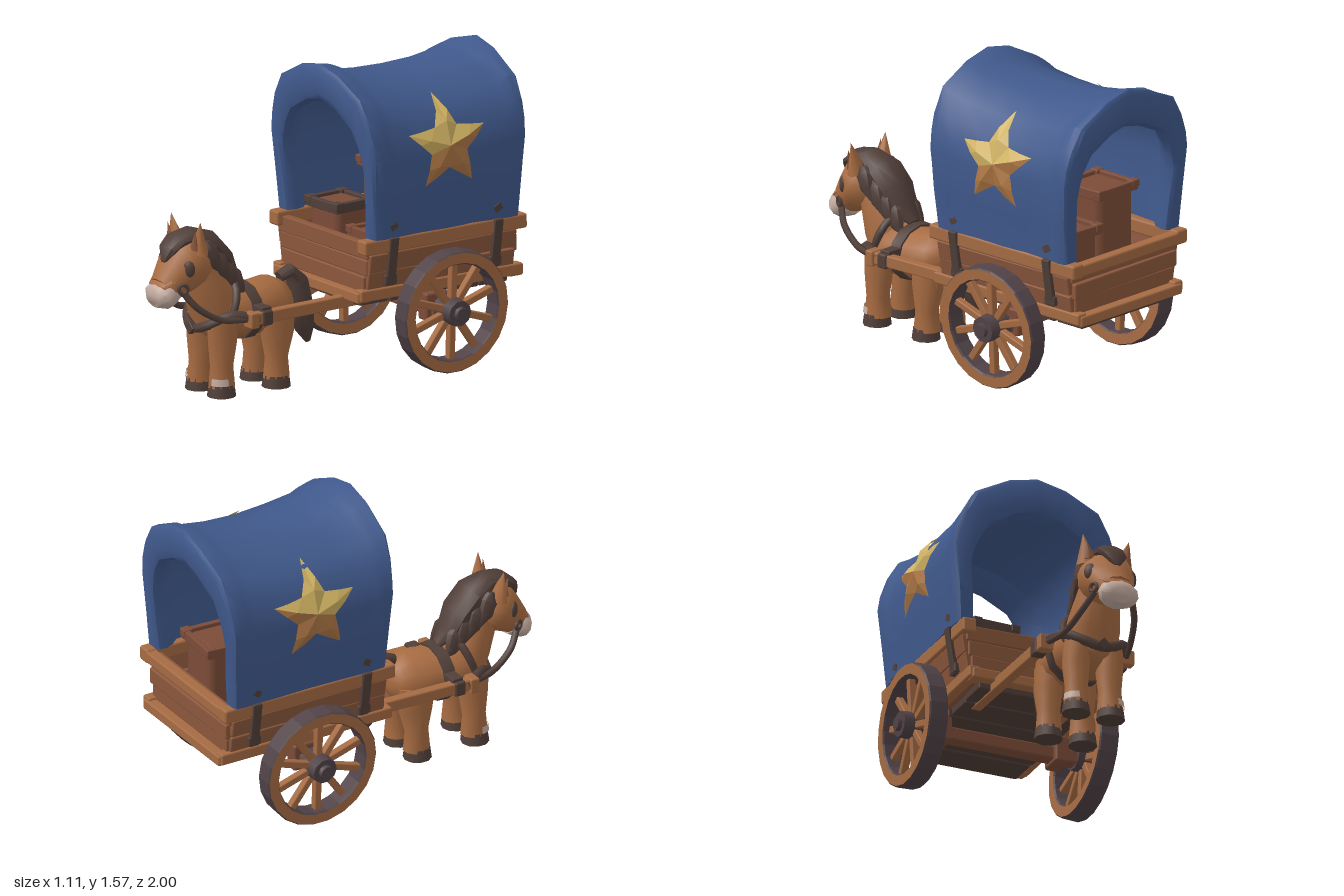
import * as THREE from 'three';
import { toCreasedNormals } from 'three/addons/utils/BufferGeometryUtils.js';
import { RoundedBoxGeometry } from 'three/addons/geometries/RoundedBoxGeometry.js';

const mat = (name, color, extra = {}) => Object.assign(new THREE.MeshStandardMaterial({ color, ...extra }), { name });
const M = {
  canvas: mat('blue canvas', 0x40598c, { side: THREE.DoubleSide }),
  wood: mat('tan wood', 0xa56b43),
  board: mat('wagon board', 0x8b573c),
  plank: mat('brown crate', 0x7c4c39),
  dark: mat('dark brown', 0x513f39),
  tread: mat('wheel tread', 0x514348),
  coat: mat('pony coat', 0xa86c42),
  pale: mat('pale muzzle', 0xc4aca0, { side: THREE.DoubleSide }),
  gold: mat('gold', 0xd0b262, { side: THREE.DoubleSide }),
  bronze: mat('bronze', 0xac7644, { side: THREE.DoubleSide }),
};
let seed = 7;
const jit = (a) => ((seed = (seed * 16807) % 2147483647) / 2147483647 - 0.5) * 2 * a;

function add(parent, name, geo, material, pos = [0, 0, 0], rot = [0, 0, 0]) {
  const m = new THREE.Mesh(geo, material);
  m.name = name;
  m.position.set(...pos);
  m.rotation.set(...rot);
  parent.add(m);
  return m;
}
// softly bevelled block
const box = (p, name, material, size, pos, rot) =>
  add(p, name, new RoundedBoxGeometry(...size, 1, Math.min(...size) * 0.16), material, pos, rot);

// skin through elliptical rings [y, z, halfWidth, halfHeight], turned to follow their path
function loft(rings, n = 12) {
  const v = [], idx = [];
  rings.forEach(([y, z, rx, rv], i) => {
    const a = rings[Math.max(i - 1, 0)], b = rings[Math.min(i + 1, rings.length - 1)];
    const t = Math.atan2(a[0] - b[0], b[1] - a[1]);
    for (let j = 0; j < n; j++) {
      const q = (j / n) * Math.PI * 2, s = rv * Math.sin(q);
      v.push(rx * Math.cos(q), y + s * Math.cos(t), z + s * Math.sin(t));
      const k = i * n + j, l = i * n + ((j + 1) % n);
      if (i < rings.length - 1) idx.push(k, l, k + n, l, l + n, k + n);
    }
  });
  const last = (rings.length - 1) * n;
  for (let j = 1; j < n - 1; j++) idx.push(0, j + 1, j, last, last + j, last + j + 1);
  const g = new THREE.BufferGeometry();
  g.setAttribute('position', new THREE.Float32BufferAttribute(v, 3));
  g.setIndex(idx);
  return toCreasedNormals(g, 0.9);
}
const tube = (pts, r, n = 24) =>
  new THREE.TubeGeometry(new THREE.CatmullRomCurve3(pts.map((p) => new THREE.Vector3(...p))), n, r, 6);

// canvas outline, right half from hem to ridge
const HALF = [[0.41, 0.745], [0.425, 0.95], [0.44, 1.16], [0.425, 1.25], [0.395, 1.34], [0.33, 1.45], [0.15, 1.54], [0, 1.575]];
const OUTLINE = [...HALF, ...HALF.slice(0, -1).reverse().map(([x, y]) => [-x, y])];
const sag = (t) => 1 - 0.085 * Math.pow(Math.max(Math.sin(Math.PI * t), 0), 0.7);

function canopyGeometry() {
  // [position along length, outer scale, inner scale]
  const st = [[0, 0.965, 0.82], [0.015, 1, 0.78], [0.06, 1.01, 0.77], [0.11, 1, 0.81], [0.16, 0.99, 0.9], [0.32, 0.985, 0.93], [0.5, 0.985, 0.93]];
  const all = [...st, ...st.slice(0, -1).reverse().map(([t, o, i]) => [1 - t, o, i])];
  const v = [], idx = [], P = OUTLINE.length, L = P * 2;
  all.forEach(([t, o, inn], i) => {
    const put = ([x, y], s) => {
      const h = (y - 0.75) / 0.82, z0 = -0.055 + 0.055 * h, z1 = -0.93 - 0.05 * h;
      v.push(x * s + jit(0.005), 0.75 + (y - 0.75) * s * sag(t) + (h > 0 ? jit(0.006) : 0), z0 + (z1 - z0) * t);
    };
    OUTLINE.forEach((p) => put(p, o));
    [...OUTLINE].reverse().forEach((p) => put(p, inn));
    if (i) for (let j = 0; j < L; j++) {
      const a = (i - 1) * L + j, b = (i - 1) * L + ((j + 1) % L);
      idx.push(a, a + L, b, b, a + L, b + L);
    }
  });
  const e = (all.length - 1) * L;
  for (let j = 0; j < P - 1; j++) {
    const a = j, b = j + 1, c = L - 1 - j, d = L - 2 - j;
    idx.push(a, b, c, b, d, c, e + a, e + c, e + b, e + b, e + c, e + d);
  }
  const g = new THREE.BufferGeometry();
  g.setAttribute('position', new THREE.Float32BufferAttribute(v, 3));
  g.setIndex(idx);
  return toCreasedNormals(g, 0.7);
}

// raised five-pointed star bent over the canvas side
function starGeometry() {
  const on = (y, z, lift) => {
    const yy = 0.75 + (y - 0.75) / sag(0.5);
    const i = HALF.findIndex((p) => p[1] >= yy), [x0, y0] = HALF[i - 1], [x1, y1] = HALF[i];
    return new THREE.Vector3(x0 + ((x1 - x0) * (yy - y0)) / (y1 - y0) + lift, y, z);
  };
  const mid = (a, b, lift) => on((a.y + b.y) / 2, (a.z + b.z) / 2, lift);
  const corner = (i) => {
    const a = (i / 10) * Math.PI * 2, r = i % 2 ? 0.112 : 0.238;
    return on(1.178 + r * Math.cos(a), -0.48 - r * Math.sin(a), 0.012);
  };
  const g = new THREE.BufferGeometry(), v = [], centre = on(1.178, -0.48, 0.032);
  for (let i = 0; i < 10; i++) {
    const tip = corner(i % 2 ? i + 1 : i), notch = corner(i % 2 ? i : i + 1);
    const ridge = mid(centre, tip, 0.034), edge = mid(tip, notch, 0.018);
    for (const [a, b, c] of [[centre, notch, ridge], [ridge, notch, edge], [ridge, edge, tip]]) {
      // face every facet outward
      const out = b.clone().sub(a).cross(c.clone().sub(a)).x > 0;
      for (const p of out ? [a, b, c] : [a, c, b]) v.push(p.x, p.y, p.z);
    }
    g.addGroup(i * 9, 9, [0, 1, 7, 8, 9].includes(i) ? 0 : 1);
  }
  g.setAttribute('position', new THREE.Float32BufferAttribute(v, 3));
  g.computeVertexNormals();
  return g;
}

function wheel() {
  const w = new THREE.Group();
  w.name = 'wheel';
  const s = new THREE.Shape().absarc(0, 0, 0.311, 0, Math.PI * 2);
  s.holes.push(new THREE.Path().absarc(0, 0, 0.247, 0, Math.PI * 2, true));
  const rim = new THREE.ExtrudeGeometry(s, { depth: 0.085, curveSegments: 11, bevelSize: 0.006, bevelThickness: 0.008, bevelOffset: -0.006, bevelSegments: 1 });
  add(w, 'wheelRim', rim.translate(0, 0, -0.042).rotateY(Math.PI / 2), [M.wood, M.tread]);
  for (let i = 0; i < 10; i++) {
    const a = (i / 10) * Math.PI * 2;
    box(w, 'spoke', M.wood, [0.038, 0.23, 0.036], [0, 0.15 * Math.cos(a), 0.15 * Math.sin(a)], [a, 0, 0]);
  }
  add(w, 'hub', new THREE.CylinderGeometry(0.066, 0.074, 0.13, 10), M.tread, [0.01, 0, 0], [0, 0, -Math.PI / 2]);
  add(w, 'hubCap', new THREE.CylinderGeometry(0.034, 0.042, 0.04, 8), M.tread, [0.075, 0, 0], [0, 0, -Math.PI / 2]);
  return w;
}

function crate(p, x, z, w, h, d, lidMaterial, turn = 0) {
  const c = new THREE.Group();
  c.name = 'crate';
  c.position.set(x, 0.47, z);
  c.rotation.y = turn;
  box(c, 'crateBody', M.plank, [w - 0.03, h - 0.02, d - 0.03], [0, h / 2, 0]);
  for (const [sy, m] of [[0.025, M.plank], [h - 0.025, lidMaterial]]) for (const s of [-1, 1]) {
    box(c, 'crateSlat', m, [w, 0.05, 0.03], [0, sy, s * (d / 2 - 0.015)]);
    box(c, 'crateSlat', m, [0.03, 0.05, d], [s * (w / 2 - 0.015), sy, 0]);
  }
  for (const s of [-1, 1]) for (const q of [-1, 1])
    box(c, 'crateCorner', lidMaterial, [0.05, 0.04, 0.05], [s * (w / 2 - 0.02), h - 0.015, q * (d / 2 - 0.02)]);
  p.add(c);
}

function wagon() {
  const g = new THREE.Group();
  g.name = 'wagon';
  add(g, 'canopy', canopyGeometry(), M.canvas);
  // floor and underside
  box(g, 'floor', M.board, [0.68, 0.04, 0.92], [0, 0.45, -0.49]);
  for (let i = 0; i < 5; i++) box(g, 'underPlank', M.dark, [0.6, 0.05, 0.17], [jit(0.01), 0.41 + jit(0.008), -0.13 - i * 0.18]);
  box(g, 'axle', M.plank, [0.84, 0.07, 0.08], [0, 0.325, -0.48]);
  // end walls, ledges and beams
  for (const [z, e] of [[-0.06, 0.03], [-0.92, -0.03]]) {
    for (let i = 0; i < 3; i++)
      box(g, 'endPlank', M.board, [0.7 + i * 0.025, 0.082, 0.045], [0, 0.515 + i * 0.083, z + jit(0.008)], [0, 0, jit(0.015)]);
    box(g, 'endLedge', M.wood, [0.72, 0.055, 0.08], [0, 0.45, z + e]);
  }
  box(g, 'rearBeam', M.wood, [0.74, 0.06, 0.06], [0, 0.71, -0.95]);
  // each side: planks, rails, straps, star, wheel and shaft
  for (const s of [-1, 1]) {
    const h = new THREE.Group();
    h.name = s > 0 ? 'leftSide' : 'rightSide';
    h.scale.x = s;
    for (let i = 0; i < 2; i++)
      box(h, 'sidePlank', M.board, [0.04, 0.095, 0.88], [0.352 + i * 0.018, 0.53 + i * 0.096, -0.485], [jit(0.008), 0, -0.17]);
    box(h, 'topRail', M.wood, [0.075, 0.075, 0.98], [0.372, 0.71, -0.49], [jit(0.006), 0, 0]);
    box(h, 'bottomRail', M.wood, [0.06, 0.06, 0.98], [0.345, 0.46, -0.49]);
    for (const z of [-0.17, -0.8]) {
      box(h, 'strap', M.dark, [0.025, 0.25, 0.05], [0.396, 0.625, z], [0, 0, -0.15]);
      box(h, 'strapKnot', M.dark, [0.04, 0.05, 0.07], [0.374, 0.53, z]);
      box(h, 'canvasTab', M.dark, [0.012, 0.035, 0.045], [0.411, 0.805, z], [0.5, 0, 0]);
    }
    add(h, 'star', starGeometry(), [M.gold, M.bronze]);
    box(h, 'axleBracket', M.plank, [0.075, 0.14, 0.14], [0.315, 0.34, -0.48]);
    const w = wheel();
    w.position.set(0.46, 0.342, -0.483);
    w.rotation.z = -0.05;
    h.add(w);
    box(h, 'shaft', M.wood, [0.052, 0.062, 0.85], [0.215, 0.408, 0.145], [0.02, 0, 0]);
    box(h, 'shaftWrap', M.dark, [0.066, 0.075, 0.06], [0.217, 0.4, 0.47]);
    box(h, 'shaftEnd', M.wood, [0.075, 0.08, 0.05], [0.218, 0.398, 0.55]);
    g.add(h);
  }
  crate(g, -0.17, -0.26, 0.25, 0.35, 0.24, M.dark, 0.06);
  crate(g, 0.16, -0.3, 0.27, 0.26, 0.28, M.plank);
  crate(g, -0.17, -0.6, 0.28, 0.5, 0.28, M.plank);
  crate(g, 0.16, -0.66, 0.28, 0.37, 0.3, M.plank, -0.05);
  return g;
}

function pony() {
  const g = new THREE.Group();
  g.name = 'pony';
  add(g, 'body', loft([[0.42, 0.19, 0.04, 0.04], [0.42, 0.215, 0.105, 0.09], [0.41, 0.28, 0.148, 0.135], [0.395, 0.4, 0.152, 0.133],
    [0.395, 0.52, 0.158, 0.137], [0.4, 0.62, 0.15, 0.14], [0.41, 0.69, 0.11, 0.1], [0.41, 0.72, 0.04, 0.04]]), M.coat);
  add(g, 'neck', loft([[0.36, 0.6, 0.13, 0.12], [0.48, 0.64, 0.138, 0.125], [0.6, 0.69, 0.115, 0.115], [0.74, 0.74, 0.09, 0.09]]), M.coat);
  add(g, 'head', loft([[0.73, 0.7, 0.07, 0.07], [0.71, 0.74, 0.13, 0.12], [0.675, 0.8, 0.146, 0.135], [0.62, 0.86, 0.122, 0.108], [0.565, 0.92, 0.09, 0.08]]), M.coat);
  add(g, 'muzzle', loft([[0.565, 0.89, 0.085, 0.07], [0.55, 0.92, 0.1, 0.075], [0.528, 0.96, 0.1, 0.068], [0.515, 0.99, 0.055, 0.04]]), M.pale);
  add(g, 'noseBridge', loft([[0.66, 0.87, 0.1, 0.05], [0.615, 0.92, 0.095, 0.03], [0.582, 0.965, 0.07, 0.022], [0.565, 0.98, 0.03, 0.01]]), M.coat);
  // harness round girth and chest
  add(g, 'girth', loft([[0.395, 0.435, 0.165, 0.144], [0.395, 0.495, 0.168, 0.147]]), M.dark);
  box(g, 'shaftStrap', M.dark, [0.46, 0.035, 0.06], [0, 0.435, 0.465]);
  const collar = [[0.23, 0.4, 0.51], [0.165, 0.42, 0.64], [0.09, 0.37, 0.72], [0, 0.34, 0.745]];
  add(g, 'breastStrap', tube([...collar, ...collar.slice(0, 3).reverse().map(([x, y, z]) => [-x, y, z])], 0.025, 36), M.dark);
  box(g, 'strapBuckle', M.dark, [0.05, 0.05, 0.03], [0, 0.345, 0.76], [0, 0, Math.PI / 4]);
  add(g, 'neckCollar', new THREE.TorusGeometry(0.145, 0.02, 6, 20), M.dark, [0, 0.45, 0.6], [-0.35, 0, 0]);
  // mane, forelock and tail
  add(g, 'mane', loft([[0.54, 0.48, 0.035, 0.02], [0.6, 0.55, 0.085, 0.045], [0.69, 0.6, 0.105, 0.06], [0.77, 0.68, 0.105, 0.065],
    [0.815, 0.77, 0.075, 0.045], [0.805, 0.85, 0.08, 0.035], [0.765, 0.9, 0.065, 0.03], [0.7, 0.925, 0.015, 0.015]], 9), M.dark);
  add(g, 'tail', loft([[0.52, 0.23, 0.03, 0.03], [0.545, 0.17, 0.045, 0.035], [0.49, 0.12, 0.065, 0.05], [0.34, 0.1, 0.07, 0.07], [0.24, 0.075, 0.045, 0.05], [0.17, 0.055, 0.01, 0.015]], 9), M.dark);
  const tuft = loft([[0.06, 0, 0.015, 0.02], [0.02, 0, 0.035, 0.048], [-0.05, -0.01, 0.03, 0.04], [-0.12, -0.035, 0.004, 0.006]], 7);
  for (const s of [-1, 1]) {
    const h = new THREE.Group();
    h.name = s > 0 ? 'leftHalf' : 'rightHalf';
    h.scale.x = s;
    [[0.74, 0.72], [0.68, 0.655], [0.63, 0.6], [0.58, 0.55]].forEach(([y, z], i) =>
      add(h, 'maneTuft', tuft, M.dark, [0.1 - i * 0.012, y, z], [0.25, 0, 0.12]));
    for (const [z, r] of [[0.305, 0.1], [0.635, 0.085]]) {
      add(h, 'leg', loft([[0.4, z, 0.06, r], [0.27, z, 0.068, r * 0.9], [0.15, z + 0.005, 0.058, 0.06], [0.045, z + 0.005, 0.066, 0.07]], 10), M.coat, [0.09, 0, 0]);
      add(h, 'hoof', new THREE.CylinderGeometry(0.064, 0.072, 0.06, 10), M.dark, [0.093, 0.03, z + 0.008]);
    }
    add(h, 'sock', new THREE.CylinderGeometry(0.068, 0.073, 0.035, 8, 1, true, 0.2, 1.3), M.pale, [0.09, 0.08, 0.642]);
    const ear = add(h, 'ear', new THREE.ConeGeometry(0.06, 0.16, 7), M.coat, [0.108, 0.83, 0.785], [0.1, 0, -0.2]);
    ear.scale.z = 0.7;
    const inner = add(h, 'innerEar', new THREE.ConeGeometry(0.03, 0.1, 5), M.board, [0.108, 0.818, 0.815], [0.05, 0, -0.2]);
    inner.scale.z = 0.5;
    const eye = add(h, 'eye', new THREE.SphereGeometry(0.038, 10, 8), M.dark, [0.113, 0.678, 0.855], [0, 0.75, 0]);
    eye.scale.set(0.85, 1.15, 0.5);
    add(h, 'bitRing', new THREE.TorusGeometry(0.022, 0.01, 6, 10), M.dark, [0.108, 0.58, 0.885], [0, 1.1, 0]);
    add(h, 'rein', tube([[0.1, 0.56, 0.88], [0.14, 0.48, 0.82], [0.175, 0.41, 0.7], [0.21, 0.4, 0.57]], 0.017), M.dark);
    g.add(h);
  }
  return g;
}

export function createModel() {
  const model = new THREE.Group();
  model.name = 'ponyAndWagon';
  model.add(wagon(), pony());
  return model;
}
